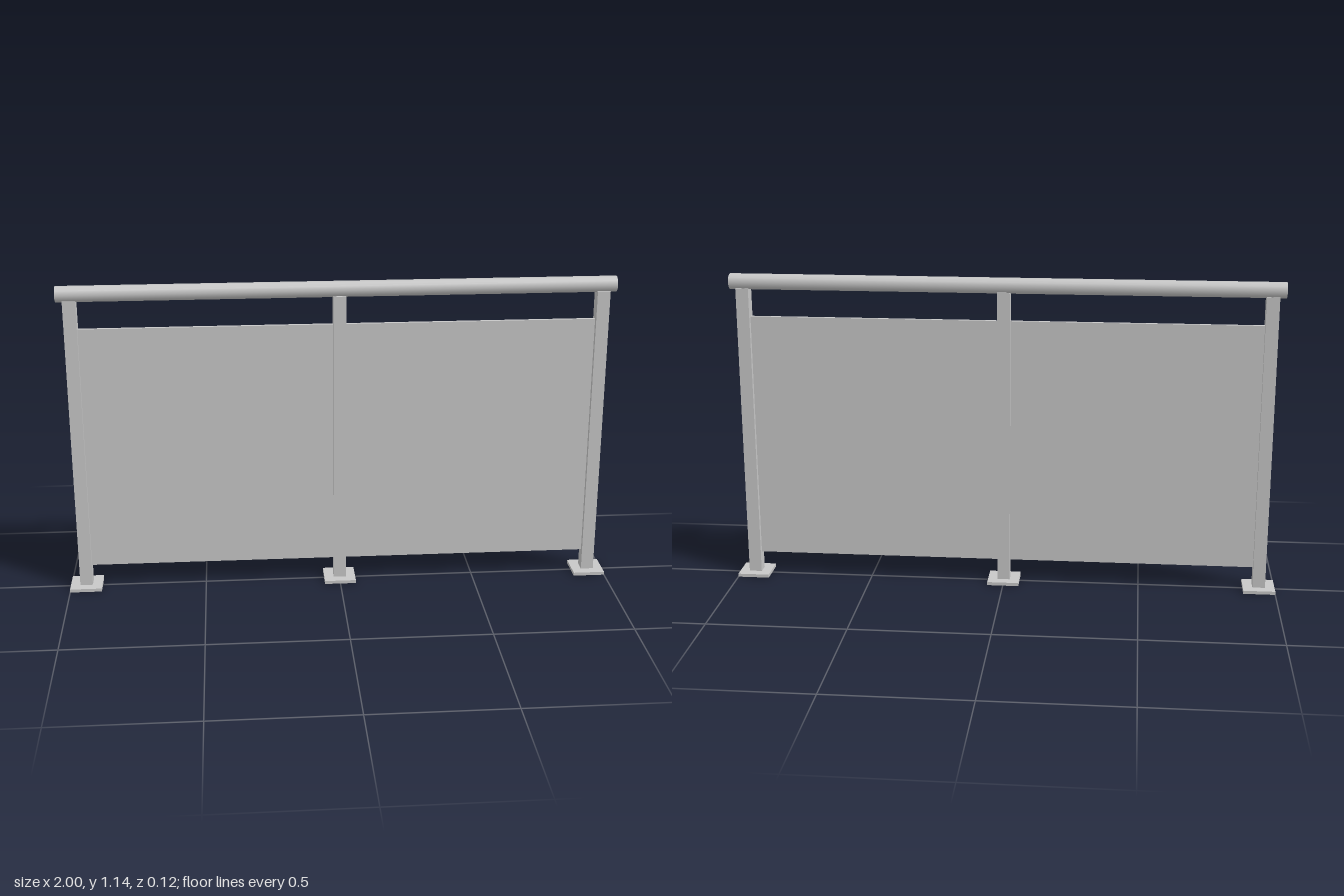
import * as THREE from 'three';

export function createModel() {
  const model = new THREE.Group();
  const metal = new THREE.MeshStandardMaterial({ name: 'light grey', color: 0xc8c8c8 });

  const add = (name, geometry, x, y) => {
    const mesh = new THREE.Mesh(geometry, metal);
    mesh.name = name;
    mesh.position.set(x, y, 0);
    model.add(mesh);
    return mesh;
  };

  const spacing = 0.942, postWidth = 0.046, plateHeight = 0.012, postTop = 1.094;

  // Three square posts on foot plates
  ['right', 'middle', 'left'].forEach((side, i) => {
    const x = (i - 1) * spacing;
    add(side + 'FootPlate', new THREE.BoxGeometry(0.116, plateHeight, 0.116), x, plateHeight / 2);
    add(side + 'Post', new THREE.BoxGeometry(postWidth, postTop - plateHeight, postWidth), x, (postTop + plateHeight) / 2);
  });

  // Infill panels between the posts
  for (const s of [-1, 1]) {
    add(s < 0 ? 'rightPanel' : 'leftPanel',
      new THREE.BoxGeometry(spacing - postWidth, 0.905, 0.012), s * spacing / 2, 0.5375);
  }

  // Round handrail along the top
  add('handrail', new THREE.CylinderGeometry(0.0285, 0.0285, 1.978, 10), 0, 1.117).rotation.z = Math.PI / 2;

  return model;
}
